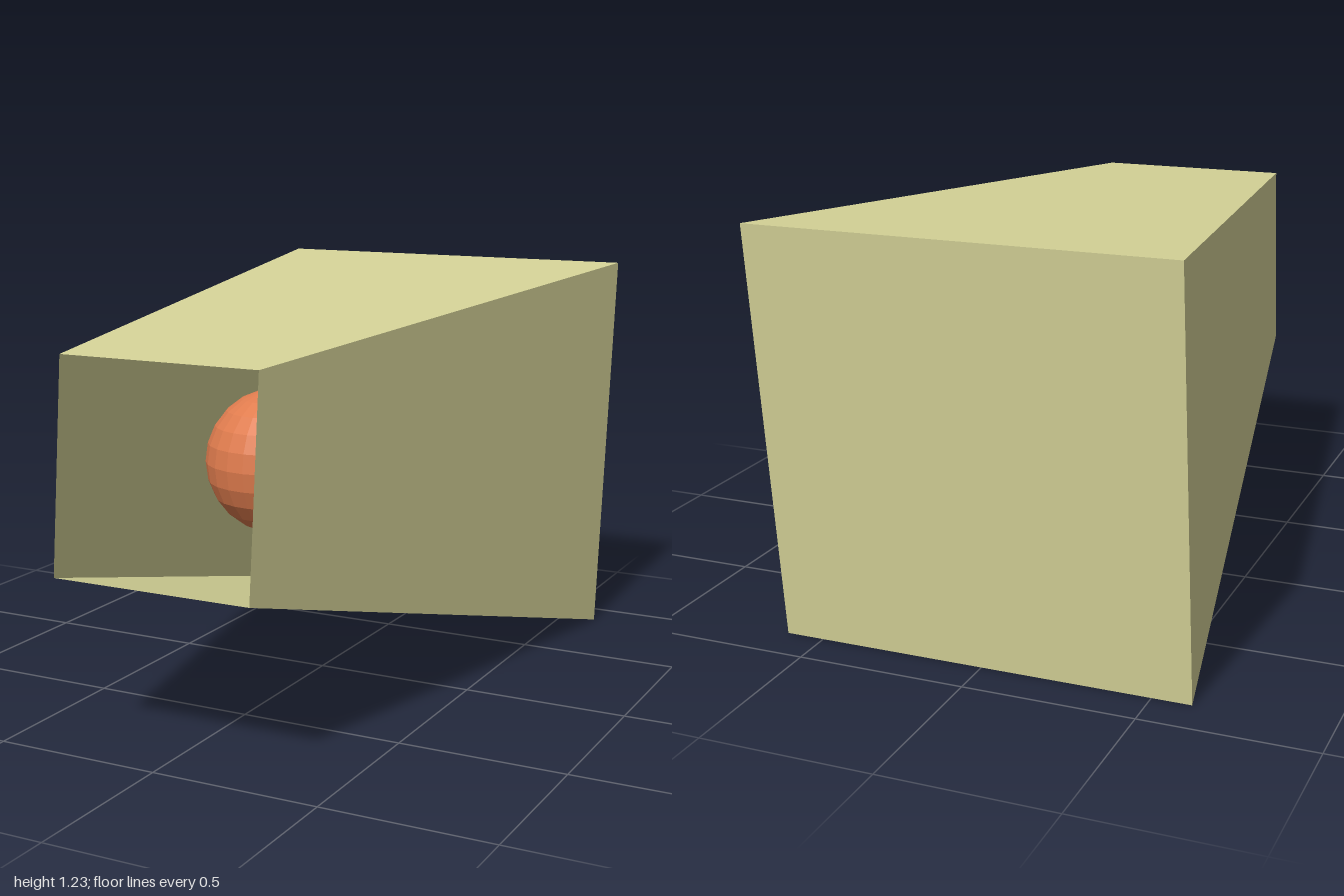
import * as THREE from 'three';

// Flat panels from four-corner loops, counter-clockwise seen from outside
function panel(name, corners, material) {
  const geometry = new THREE.BufferGeometry();
  geometry.setAttribute('position', new THREE.Float32BufferAttribute(corners.flat(), 3));
  geometry.setIndex([0, 1, 2, 0, 2, 3]);
  const flat = geometry.toNonIndexed();
  flat.computeVertexNormals();
  const mesh = new THREE.Mesh(flat, material);
  mesh.name = name;
  return mesh;
}

export function createModel() {
  const model = new THREE.Group();
  model.name = 'taperedHoodWithBall';

  const shell = new THREE.MeshStandardMaterial({ color: 0xd6d498, side: THREE.DoubleSide, flatShading: true });
  const orange = new THREE.MeshStandardMaterial({ color: 0xe07c4e, flatShading: true });

  // Cross-sections: bottom left, bottom right, top right, top left as seen from the front
  const section = (w, yBottom, zBottom, yTop, zTop) => [
    [-w, yBottom, zBottom], [w, yBottom, zBottom], [w, yTop, zTop], [-w, yTop, zTop],
  ];
  const mouth = section(0.305, 0.505, 1, 1.11, 0.94);
  const back = section(0.615, 0, -0.875, 1.23, -1);

  // Four walls joining the open mouth to the back
  const hood = new THREE.Group();
  hood.name = 'hood';
  ['floor', 'leftWall', 'roof', 'rightWall'].forEach((name, i) => {
    const j = (i + 1) % 4;
    hood.add(panel(name, [mouth[i], back[i], back[j], mouth[j]], shell));
  });
  hood.add(panel('backWall', [...back].reverse(), shell));
  model.add(hood);

  // Ball floating inside
  const ball = new THREE.Mesh(new THREE.SphereGeometry(0.215, 24, 12), orange);
  ball.name = 'ball';
  ball.position.set(0.02, 0.735, 0.32);
  model.add(ball);

  return model;
}
